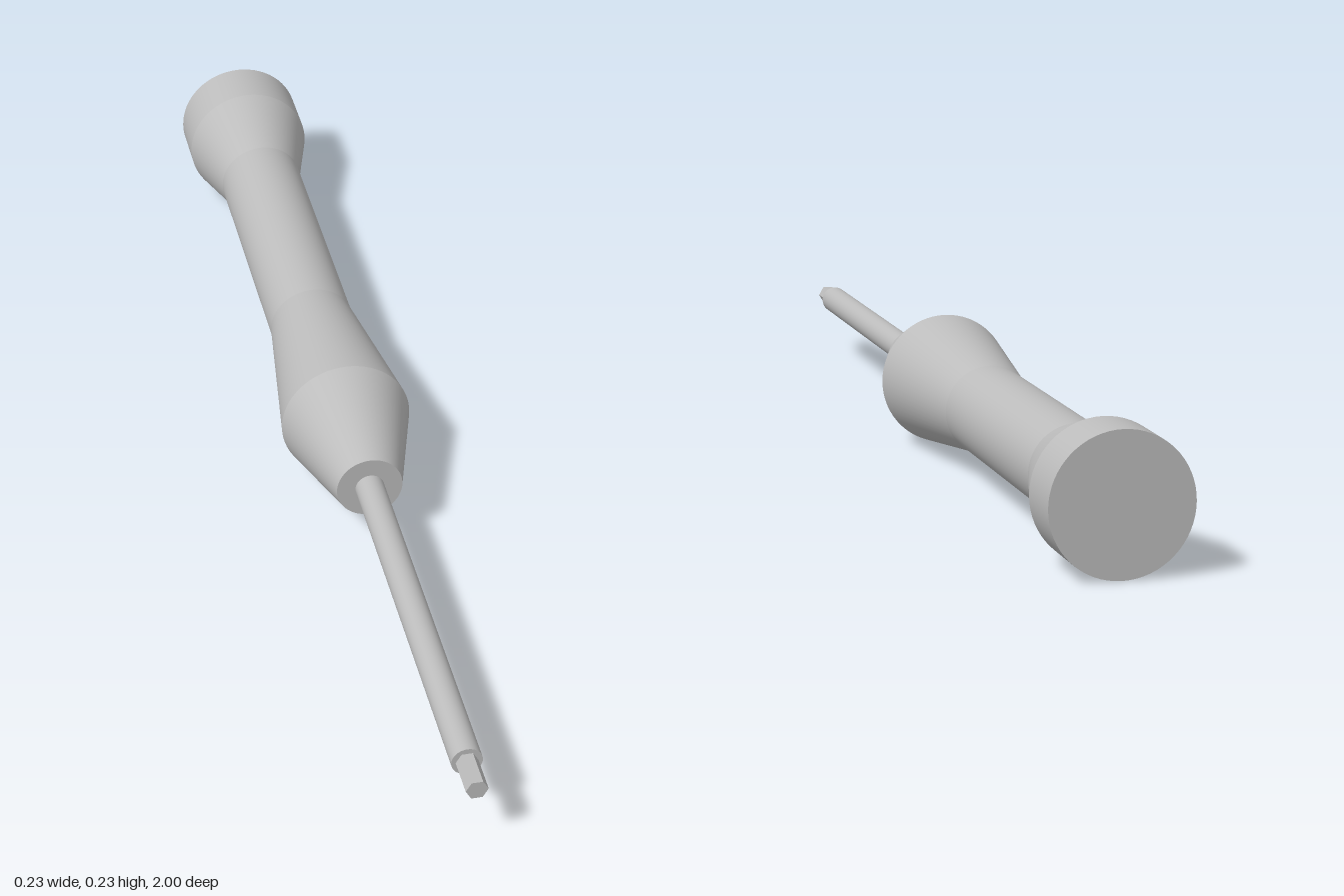
import * as THREE from 'three';
import { mergeGeometries } from 'three/addons/utils/BufferGeometryUtils.js';

const AXIS_Y = 0.114;

// Frustum along z from z0 (radius r0) to z1 (radius r1)
function frustum(z0, r0, z1, r1, sides = 64, open = false, start = 0) {
  const g = new THREE.CylinderGeometry(r1, r0, z1 - z0, sides, 1, open, start);
  g.rotateX(Math.PI / 2);
  g.translate(0, AXIS_Y, (z0 + z1) / 2);
  return g;
}

// Flat disc across the axis, facing +z or -z
function disc(z, r, facing) {
  const g = new THREE.CircleGeometry(r, 64);
  if (facing < 0) g.rotateY(Math.PI);
  g.translate(0, AXIS_Y, z);
  return g;
}

export function createModel() {
  const metal = new THREE.MeshStandardMaterial({ color: 0xbcbcbc });
  metal.name = 'grey metal';
  const model = new THREE.Group();
  model.name = 'screwdriver';

  const add = (name, geometry) => {
    const mesh = new THREE.Mesh(geometry, metal);
    mesh.name = name;
    model.add(mesh);
  };

  // Handle: [z, radius] rings joined by crisp-edged sections
  const rings = [
    [-1, 0.114], [-0.9, 0.114], [-0.762, 0.076],
    [-0.262, 0.076], [0.037, 0.114], [0.235, 0.057],
  ];
  const sections = [disc(-1, 0.114, -1), disc(0.235, 0.057, 1)];
  for (let i = 0; i < rings.length - 1; i++) {
    sections.push(frustum(...rings[i], ...rings[i + 1], 64, true));
  }
  add('handle', mergeGeometries(sections));

  // Round shaft, seated slightly inside the handle
  add('shaft', frustum(0.2, 0.025, 0.935, 0.025, 48));

  // Hexagonal driver tip with corners left and right
  const tip = frustum(0.92, 0.018, 1, 0.018, 6, false, Math.PI / 6).toNonIndexed();
  tip.computeVertexNormals();
  add('hexTip', tip);

  return model;
}
